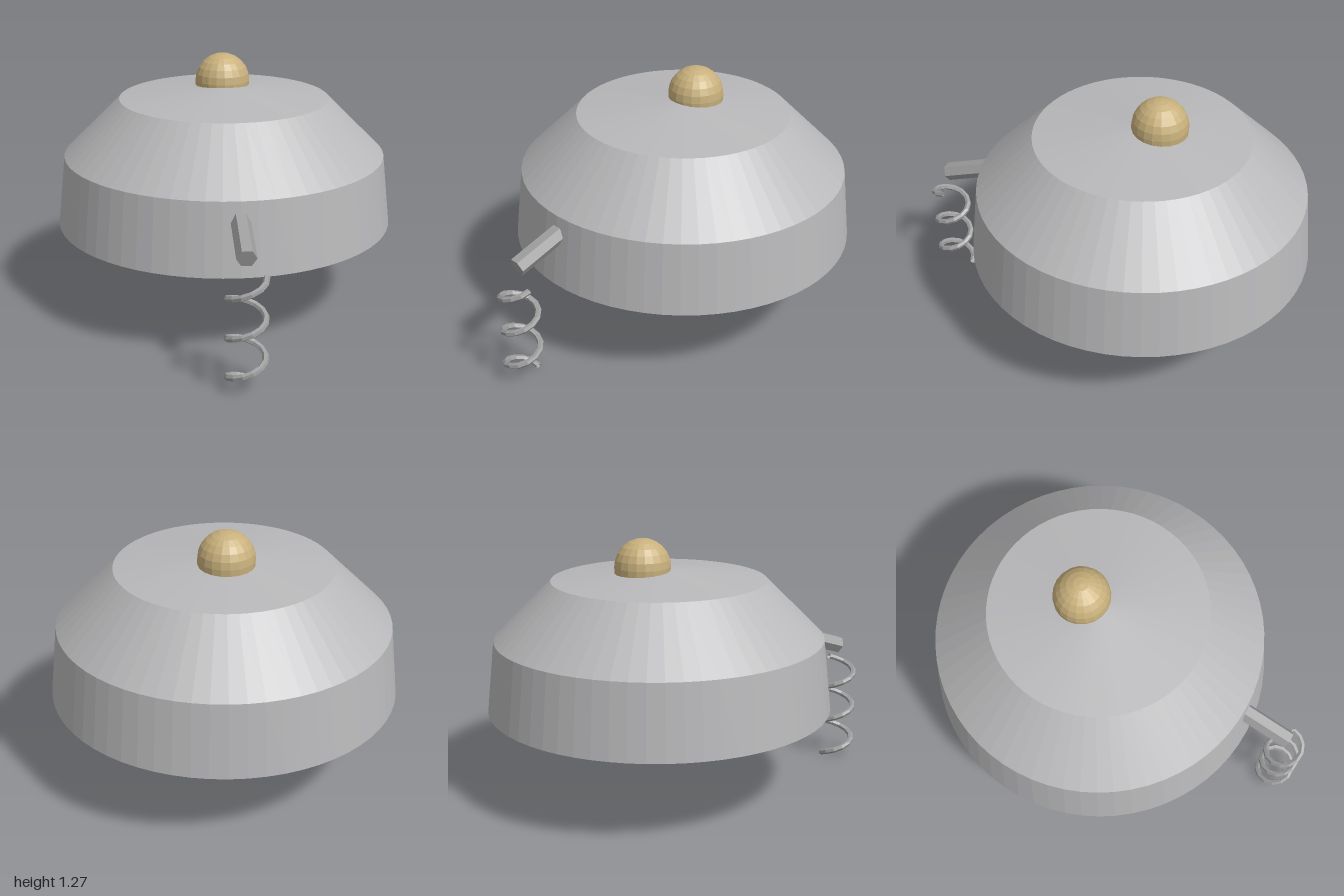
import * as THREE from 'three';

const shellGray = new THREE.MeshStandardMaterial({ color: 0xb8b8ba, flatShading: true });
shellGray.name = 'shell gray';
const metalGray = new THREE.MeshStandardMaterial({ color: 0x9f9fa0, flatShading: true, side: THREE.DoubleSide });
metalGray.name = 'metal gray';
const knobTan = new THREE.MeshStandardMaterial({ color: 0xc8b07c, flatShading: true });
knobTan.name = 'knob tan';

const DOME_Z = -0.152;

function addMesh(parent, name, geometry, material, x = 0, y = 0, z = 0) {
  const mesh = new THREE.Mesh(geometry, material);
  mesh.name = name;
  mesh.position.set(x, y, z);
  parent.add(mesh);
  return mesh;
}

function lathe(points, sides) {
  return new THREE.LatheGeometry(points.map(([r, y]) => new THREE.Vector2(r, y)), sides);
}

// Downward helix: starts at +x, turns through +z
class Helix extends THREE.Curve {
  constructor(radius, top, bottom, turns) {
    super();
    Object.assign(this, { radius, top, bottom, turns });
  }
  getPoint(t, target = new THREE.Vector3()) {
    const a = t * this.turns * Math.PI * 2;
    return target.set(
      Math.cos(a) * this.radius,
      THREE.MathUtils.lerp(this.top, this.bottom, t),
      Math.sin(a) * this.radius
    );
  }
}

export function createModel() {
  const model = new THREE.Group();
  model.name = 'domedCover';

  // Hollow stepped dome: inside from apex to rim, then outside back up
  addMesh(model, 'domeShell', lathe([
    [0, 1.07], [0.495, 1.02], [0.755, 0.77], [0.787, 0.44],
    [0.847, 0.44], [0.807, 0.79], [0.525, 1.07], [0, 1.13],
  ], 64), shellGray, 0, 0, DOME_Z);

  // Raised rings around the inner slope
  for (const [r, y] of [[0.685, 0.83], [0.585, 0.925], [0.485, 1.015]]) {
    const ring = addMesh(model, 'innerRing', new THREE.TorusGeometry(r, 0.017, 8, 64), metalGray, 0, y, DOME_Z);
    ring.rotation.x = Math.PI / 2;
  }

  // Rounded knob, set behind the apex
  const knob = [[0.134, -0.05]];
  for (let i = 0; i <= 6; i++) {
    const a = (i / 6) * Math.PI / 2;
    knob.push([0.137 * Math.cos(a), 0.137 * Math.sin(a)]);
  }
  addMesh(model, 'knob', lathe(knob, 20), knobTan, 0, 1.137, -0.238);

  // Hexagonal rod sloping up from the front into the dome
  const front = new THREE.Vector3(0, 0.617, 0.898);
  const back = new THREE.Vector3(0, 0.96, -0.16);
  const along = back.clone().sub(front);
  const rodGeometry = new THREE.CylinderGeometry(0.046, 0.046, along.length(), 6);
  rodGeometry.rotateY(Math.PI / 6);
  const rod = addMesh(model, 'rod', rodGeometry, metalGray);
  rod.position.copy(front).add(back).multiplyScalar(0.5);
  rod.quaternion.setFromUnitVectors(new THREE.Vector3(0, 1, 0), along.normalize());

  // Coil spring below the end of the rod
  addMesh(model, 'coilSpring',
    new THREE.TubeGeometry(new Helix(0.086, 0.53, 0.016, 2.75), 36, 0.015, 6), metalGray, 0, 0, 0.9);

  return model;
}
